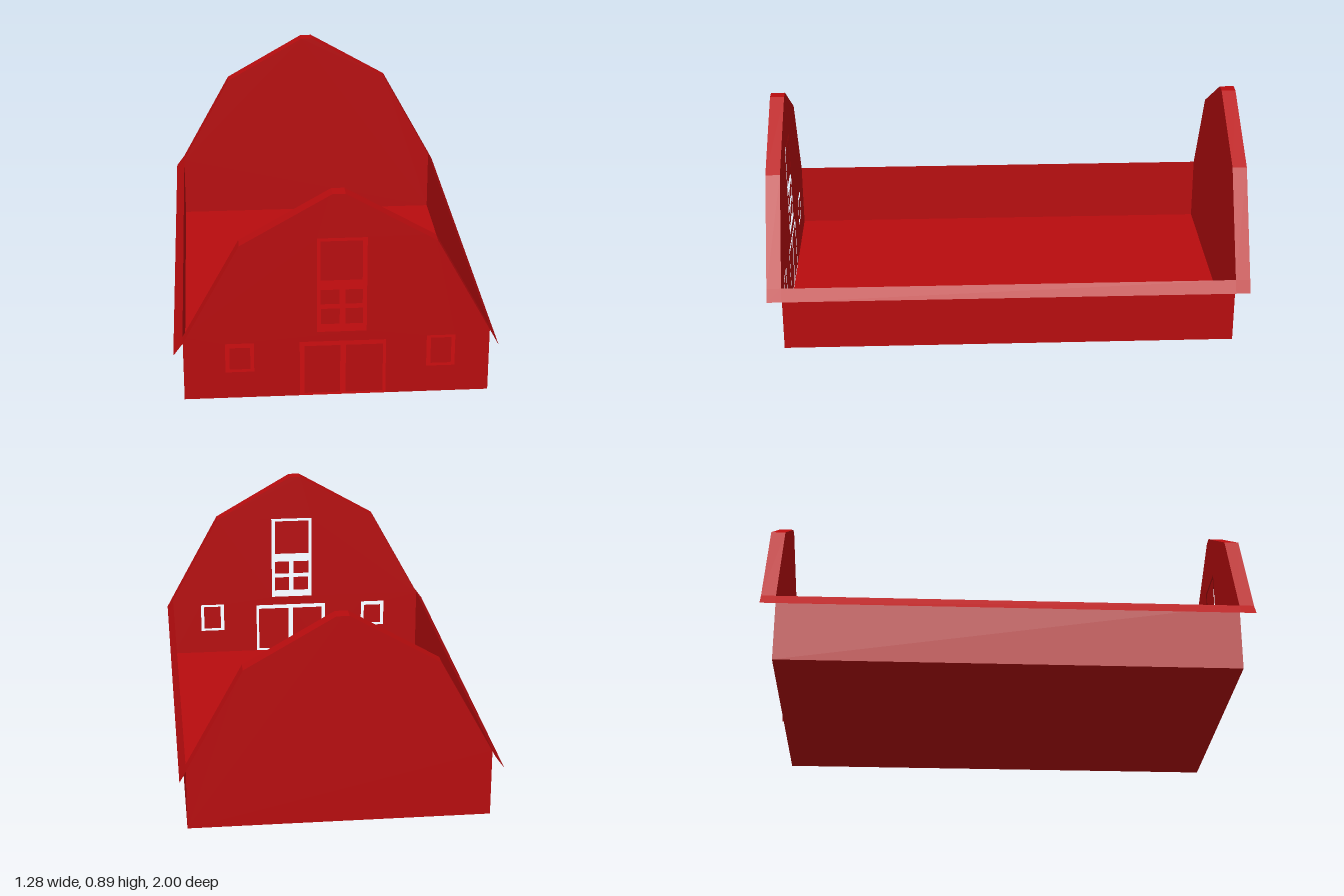
import * as THREE from 'three';

const red = new THREE.MeshStandardMaterial({ color: 0xb80c0e, side: THREE.DoubleSide, flatShading: true });

const WALL_Z = 0.94, ROOF_Z = 1;
const LEFT = -0.603, RIGHT = 0.613, EAVE_Y = 0.28;

// Gambrel roof line from the -x eave to the +x eave
const roofLine = [
  [-0.64, 0.23], [LEFT, EAVE_Y], [-0.377, 0.69], [-0.02, 0.895],
  [0.03, 0.895], [0.387, 0.69], [RIGHT, EAVE_Y], [0.64, 0.23],
];

// Openings and panels as [x0, y0, x1, y1]
const door = [-0.143, 0, 0.2, 0.24];
const openings = [
  [-0.075, 0.282, 0.122, 0.686],   // loft
  [-0.438, 0.115, -0.324, 0.241],  // window
  [0.362, 0.115, 0.476, 0.251],    // window
];
const panels = {
  doorPanel: [[-0.125, 0.01, 0.018, 0.221], [0.04, 0.01, 0.188, 0.221]],
  loftPanel: [[-0.061, 0.506, 0.104, 0.673]],
  loftPane: [
    [-0.06, 0.403, 0.014, 0.465], [0.037, 0.403, 0.105, 0.465],
    [-0.058, 0.316, 0.015, 0.383], [0.037, 0.316, 0.107, 0.383],
  ],
  windowPane: [[-0.421, 0.127, -0.339, 0.222], [0.379, 0.127, 0.461, 0.24]],
};

const points = (list) => list.map(([x, y]) => new THREE.Vector2(x, y));
const rect = ([x0, y0, x1, y1]) => points([[x0, y0], [x1, y0], [x1, y1], [x0, y1]]);

function addMesh(parent, name, geometry, z = 0) {
  const mesh = new THREE.Mesh(geometry, red);
  mesh.name = name;
  mesh.position.z = z;
  parent.add(mesh);
  return mesh;
}

// Thin sheet following a profile, swept from z0 to z1
function sheet(profile, z0, z1) {
  const v = [];
  for (let i = 0; i < profile.length - 1; i++) {
    const [a, b] = [profile[i], profile[i + 1]];
    v.push(...a, z0, ...a, z1, ...b, z1, ...a, z0, ...b, z1, ...b, z0);
  }
  const g = new THREE.BufferGeometry();
  g.setAttribute('position', new THREE.Float32BufferAttribute(v, 3));
  g.computeVertexNormals();
  return g;
}

export function createModel() {
  const barn = new THREE.Group();
  barn.name = 'barn';

  // Gable walls: the front one has a door notch and cut openings
  const top = roofLine.slice(1, -1).reverse();
  const [dx0, dy0, dx1, dy1] = door;
  const notch = [[dx0, dy0], [dx0, dy1], [dx1, dy1], [dx1, dy0]];
  const front = new THREE.Shape(points([[LEFT, 0], ...notch, [RIGHT, 0], ...top]));
  front.holes = openings.map((o) => new THREE.Path(rect(o)));
  addMesh(barn, 'frontGable', new THREE.ShapeGeometry(front), WALL_Z);

  // Mirrored outline turned to face backwards
  const back = new THREE.Shape(points([[LEFT, 0], [RIGHT, 0], ...top].map(([x, y]) => [-x, y])));
  addMesh(barn, 'backGable', new THREE.ShapeGeometry(back), -WALL_Z).rotation.y = Math.PI;

  // Door, loft and window panels set within the openings
  for (const [name, list] of Object.entries(panels)) {
    for (const r of list) addMesh(barn, name, new THREE.ShapeGeometry(new THREE.Shape(rect(r))), WALL_Z);
  }

  // Low side walls and floor
  addMesh(barn, 'rightWall', sheet([[LEFT, 0], [LEFT, EAVE_Y]], -WALL_Z, WALL_Z));
  addMesh(barn, 'leftWall', sheet([[RIGHT, EAVE_Y], [RIGHT, 0]], -WALL_Z, WALL_Z));
  addMesh(barn, 'floor', sheet([[RIGHT, 0], [LEFT, 0]], -WALL_Z, WALL_Z));

  // Roof overhang at each gable, and eaves running along both sides
  addMesh(barn, 'frontOverhang', sheet(roofLine, WALL_Z, ROOF_Z));
  addMesh(barn, 'backOverhang', sheet(roofLine, -ROOF_Z, -WALL_Z));
  addMesh(barn, 'rightEave', sheet(roofLine.slice(0, 2), -WALL_Z, WALL_Z));
  addMesh(barn, 'leftEave', sheet(roofLine.slice(-2), -WALL_Z, WALL_Z));

  return barn;
}
